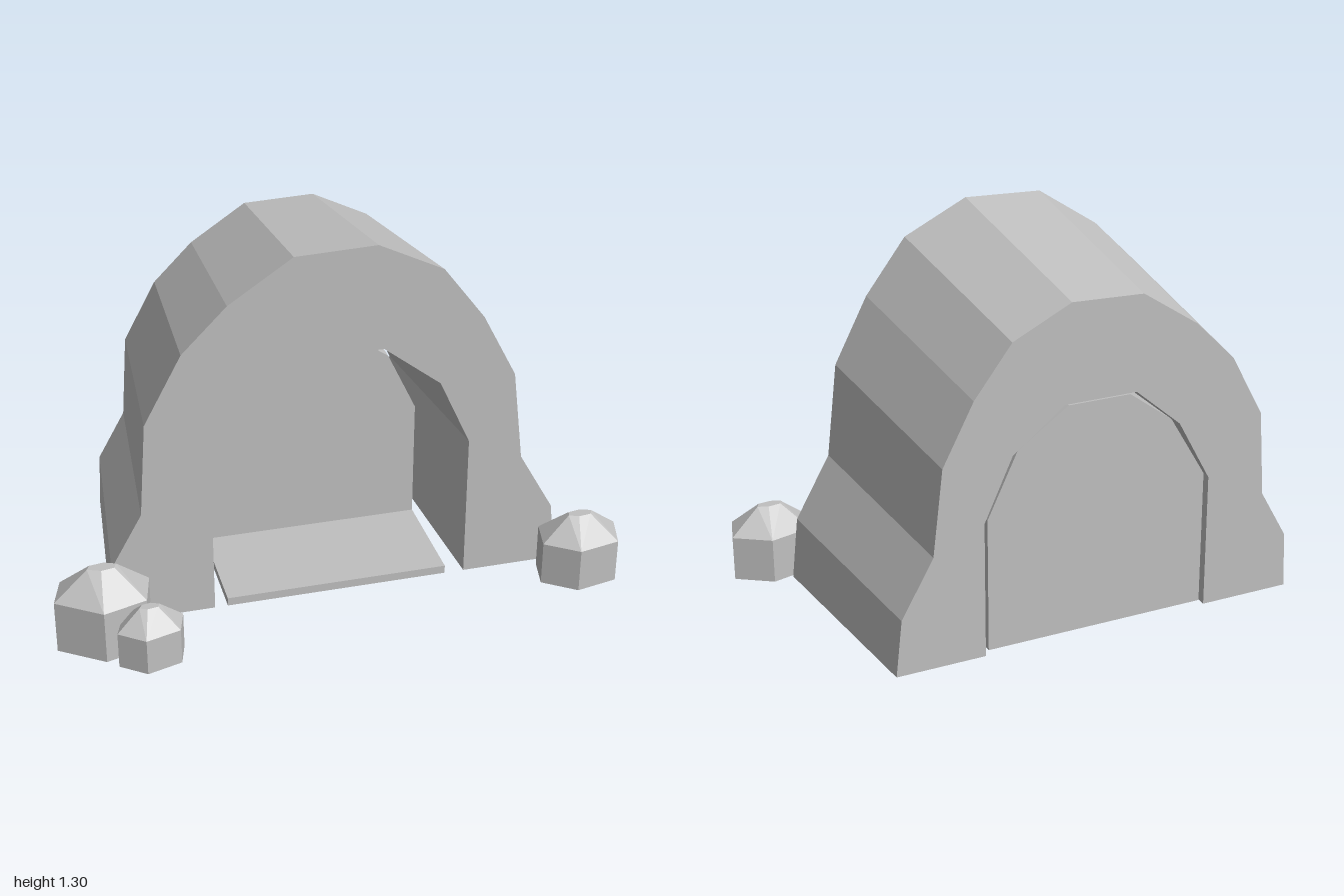
import * as THREE from 'three';
import { ConvexGeometry } from 'three/addons/geometries/ConvexGeometry.js';

const FRONT = 0.24, BACK = -0.55, TAPER = 0.9;

const stone = new THREE.MeshStandardMaterial({ color: 0xc0c0c0 });
stone.name = 'grey stone';

function addMesh(group, name, geometry) {
  const mesh = new THREE.Mesh(geometry, stone);
  mesh.name = name;
  group.add(mesh);
}

// Extrude an outline of [x, y] points between two z positions
function slab(points, zBack, zFront) {
  const shape = new THREE.Shape(points.map(([x, y]) => new THREE.Vector2(x, y)));
  const geometry = new THREE.ExtrudeGeometry(shape, { depth: zFront - zBack, bevelEnabled: false });
  return geometry.translate(0, 0, zBack);
}

// Shrink the rear end of the tunnel
function taper(geometry) {
  const p = geometry.attributes.position;
  for (let i = 0; i < p.count; i++) {
    const t = (FRONT - p.getZ(i)) / (FRONT - BACK);
    const s = 1 + (TAPER - 1) * t;
    p.setXY(i, p.getX(i) * s, p.getY(i) * s);
  }
  geometry.computeVertexNormals();
  return geometry;
}

// Rough prism with a sloped cap, from a footprint of [x, z] points
function boulder(footprint, shoulder, top) {
  const n = footprint.length;
  const cx = footprint.reduce((a, p) => a + p[0], 0) / n;
  const cz = footprint.reduce((a, p) => a + p[1], 0) / n;
  const points = [];
  for (const [x, z] of footprint) {
    points.push(new THREE.Vector3(x, 0, z));
    points.push(new THREE.Vector3(x, shoulder, z));
    points.push(new THREE.Vector3(cx + (x - cx) * 0.3, top, cz + (z - cz) * 0.18));
  }
  return new ConvexGeometry(points);
}

export function createModel() {
  const model = new THREE.Group();
  model.name = 'caveEntrance';

  // Mound with an arched tunnel through it
  const outer = [
    [0.81, 0], [0.785, 0.22], [0.66, 0.44], [0.62, 0.77], [0.5, 1.0], [0.355, 1.19], [0.13, 1.3],
    [-0.15, 1.29], [-0.37, 1.145], [-0.525, 0.99], [-0.655, 0.75], [-0.68, 0.415], [-0.79, 0.22], [-0.8, 0],
  ];
  const opening = [
    [-0.44, 0], [-0.44, 0.53], [-0.31, 0.77], [-0.13, 0.925],
    [0.155, 0.925], [0.355, 0.77], [0.465, 0.53], [0.465, 0],
  ];
  addMesh(model, 'mound', taper(slab([...outer, ...opening], BACK, FRONT)));

  // Thick plug closing the rear of the tunnel
  const plug = [
    [0.395, 0], [0.395, 0.47], [0.29, 0.69], [0.11, 0.815],
    [-0.11, 0.815], [-0.265, 0.7], [-0.395, 0.48], [-0.395, 0],
  ];
  addMesh(model, 'tunnelPlug', slab(plug, -0.52, -0.15));

  // Floor slab in the entrance
  const floor = new THREE.BoxGeometry(0.79, 0.03, 0.42);
  addMesh(model, 'floor', floor.translate(0, 0.015, 0.03));

  // Boulders beside the entrance
  addMesh(model, 'largeBoulder', boulder(
    [[-0.965, 0.23], [-0.8, 0.19], [-0.67, 0.28], [-0.7, 0.41], [-0.85, 0.455], [-1, 0.35]], 0.19, 0.287));
  addMesh(model, 'smallBoulder', boulder(
    [[-0.78, 0.39], [-0.68, 0.36], [-0.585, 0.43], [-0.61, 0.52], [-0.73, 0.555], [-0.815, 0.49]], 0.13, 0.2));
  addMesh(model, 'leftBoulder', boulder(
    [[0.73, 0.27], [0.88, 0.23], [1, 0.31], [0.965, 0.435], [0.815, 0.465], [0.705, 0.385]], 0.16, 0.245));

  return model;
}
